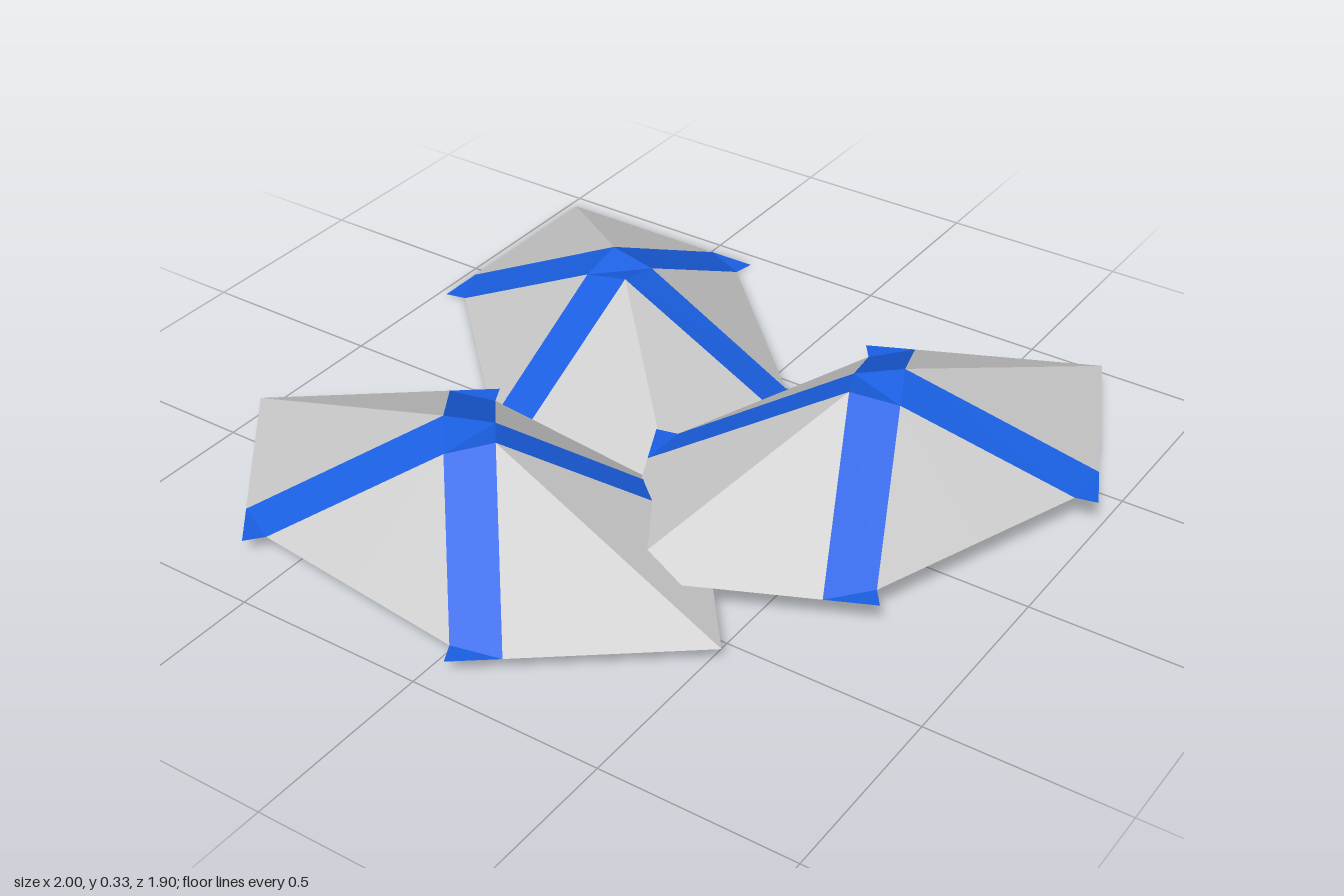
import * as THREE from 'three';

const R = 0.545;          // half width of a canopy
const W = 0.061;          // half width of a ribbon
const HIGH = 0.246, LOW = 0.22; // crown corner heights

const grey = new THREE.MeshStandardMaterial({ color: 0xcccccc, flatShading: true, side: THREE.DoubleSide });
const blue = new THREE.MeshStandardMaterial({ color: 0x1a60e4, flatShading: true, side: THREE.DoubleSide });

// Key points of one quarter of a canopy
const corner = [-R, 0, -R];
const ridgeTop = [-W, HIGH, -W];
const valleyTop = [W, LOW, -W];
const centre = [0, LOW, 0];
const ribbonOuter = [-W, 0, -R];
const ribbonInner = [0.056, 0, -0.489];
const ribbonTip = [0.068, 0, -R];
const cutMiddle = [0.2725, 0, -0.2725];

const panels = [
  [corner, ribbonOuter, ridgeTop],
  [valleyTop, ribbonInner, cutMiddle],
];
const ribbons = [
  [ridgeTop, ribbonOuter, ribbonInner],
  [ridgeTop, ribbonInner, valleyTop],
  [ribbonOuter, ribbonTip, ribbonInner],
  [centre, ridgeTop, valleyTop],
];

// Repeat the quarter by mirroring over the ridge and by a half turn
function fourfold(triangles) {
  const quarterMaps = [
    ([x, y, z]) => [x, y, z],
    ([x, y, z]) => [z, y, x],
    ([x, y, z]) => [-x, y, -z],
    ([x, y, z]) => [-z, y, -x],
  ];
  const positions = [];
  for (const map of quarterMaps) {
    for (const triangle of triangles) {
      const [a, b, c] = triangle.map(map);
      // keep every face pointing upward
      const up = (b[2] - a[2]) * (c[0] - a[0]) - (b[0] - a[0]) * (c[2] - a[2]);
      positions.push(...a, ...(up > 0 ? [...b, ...c] : [...c, ...b]));
    }
  }
  const geometry = new THREE.BufferGeometry();
  geometry.setAttribute('position', new THREE.Float32BufferAttribute(positions, 3));
  geometry.computeVertexNormals();
  return geometry;
}

export function createModel() {
  const model = new THREE.Group();
  model.name = 'canopies';
  const panelGeometry = fourfold(panels);
  const ribbonGeometry = fourfold(ribbons);

  // name, x, y, z, turn in degrees
  const places = [
    ['backRightCanopy', -0.435, 0, -0.41, 0],
    ['backLeftCanopy', 0.475, 0.083, -0.185, -65.2],
    ['frontCanopy', -0.235, 0.045, 0.48, 38.3],
  ];
  for (const [name, x, y, z, turn] of places) {
    const canopy = new THREE.Group();
    canopy.name = name;
    const cloth = new THREE.Mesh(panelGeometry, grey);
    cloth.name = 'canopyPanels';
    const cross = new THREE.Mesh(ribbonGeometry, blue);
    cross.name = 'crossedRibbons';
    canopy.add(cloth, cross);
    canopy.position.set(x, y, z);
    canopy.rotation.y = THREE.MathUtils.degToRad(turn);
    model.add(canopy);
  }
  return model;
}
